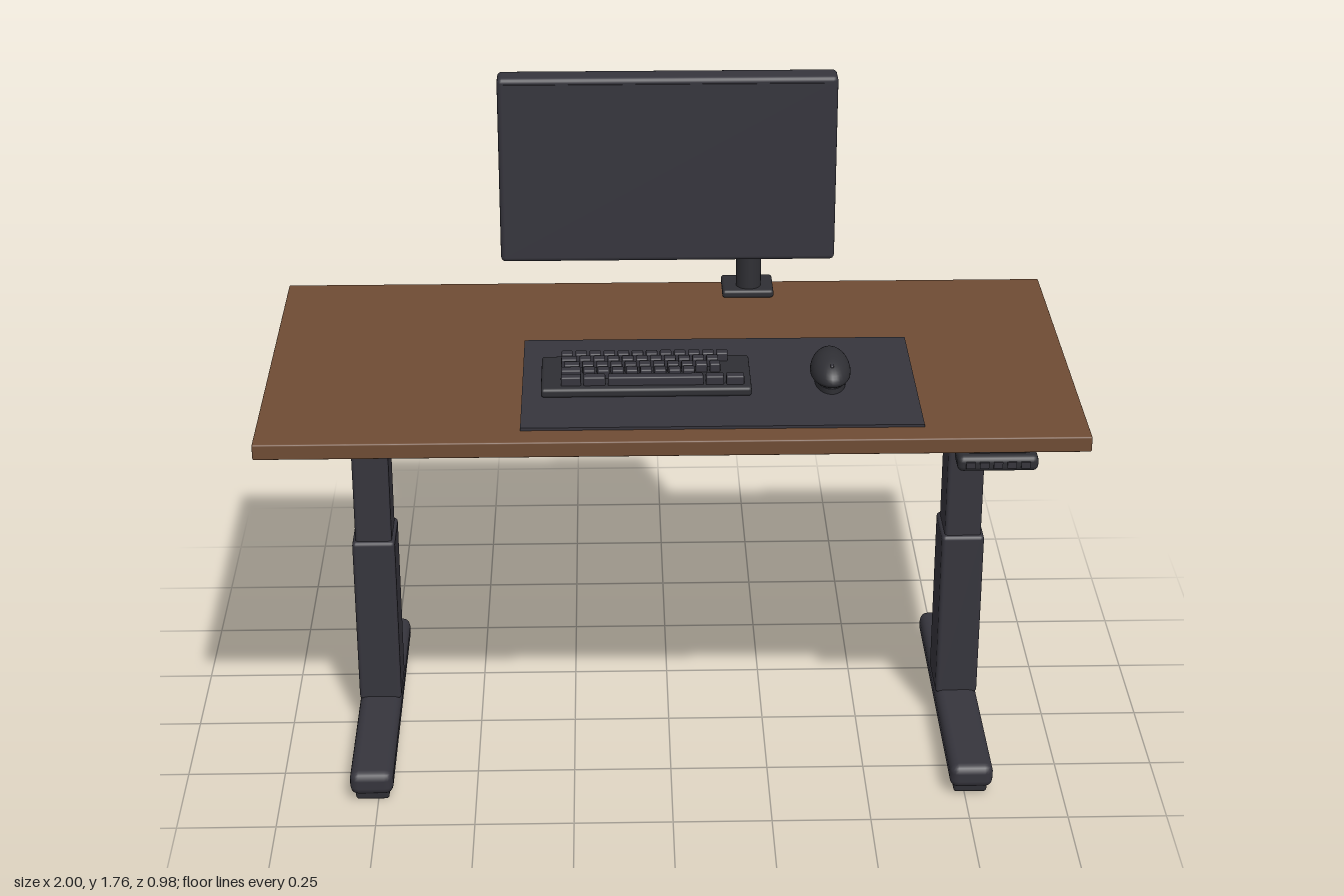
import * as THREE from 'three';
import { RoundedBoxGeometry } from 'three/addons/geometries/RoundedBoxGeometry.js';

const material = (name, color) => {
  const m = new THREE.MeshStandardMaterial({ color });
  m.name = name;
  return m;
};

export function createModel() {
  const wood = material('walnut wood', 0x6f4c34);
  const frame = material('charcoal metal', 0x36353d);
  const dark = material('dark plastic', 0x2f2f34);
  const steel = material('bare steel', 0x9b9ba0);

  const model = new THREE.Group();
  model.name = 'standingDesk';

  const add = (parent, name, geometry, mat) => {
    const mesh = new THREE.Mesh(geometry, mat);
    mesh.name = name;
    parent.add(mesh);
    return mesh;
  };
  // Box given by its extents on each axis, rounded when r > 0
  const box = (parent, name, mat, [x0, x1], [y0, y1], [z0, z1], r = 0) => {
    const size = [x1 - x0, y1 - y0, z1 - z0];
    const geometry = r ? new RoundedBoxGeometry(...size, 2, r) : new THREE.BoxGeometry(...size);
    const mesh = add(parent, name, geometry, mat);
    mesh.position.set((x0 + x1) / 2, (y0 + y1) / 2, (z0 + z1) / 2);
    return mesh;
  };
  // Cylinder between two points
  const rod = (parent, name, mat, a, b, ra, rb = ra) => {
    const from = new THREE.Vector3(...a), to = new THREE.Vector3(...b);
    const dir = to.clone().sub(from);
    const mesh = add(parent, name, new THREE.CylinderGeometry(rb, ra, dir.length(), 24), mat);
    mesh.position.copy(from).add(to).multiplyScalar(0.5);
    mesh.quaternion.setFromUnitVectors(new THREE.Vector3(0, 1, 0), dir.normalize());
    return mesh;
  };
  const cable = (parent, name, points) => {
    const curve = new THREE.CatmullRomCurve3(points.map(p => new THREE.Vector3(...p)));
    add(parent, name, new THREE.TubeGeometry(curve, 32, 0.005, 8), dark);
  };
  const group = name => {
    const g = new THREE.Group();
    g.name = name;
    model.add(g);
    return g;
  };

  // Tabletop
  box(model, 'tabletop', wood, [-1, 1], [1.02, 1.06], [-0.49, 0.48], 0.004);

  // Telescopic legs with feet and mounting brackets
  for (const side of [-1, 1]) {
    const leg = group(side < 0 ? 'rightLeg' : 'leftLeg');
    const cx = side * 0.765;
    const wide = w => [cx - w / 2, cx + w / 2];
    box(leg, 'foot', frame, wide(0.11), [0.025, 0.09], [-0.415, 0.405], 0.022);
    for (const z of [-0.335, 0.325])
      box(leg, 'footPad', dark, wide(0.085), [0, 0.035], [z - 0.055, z + 0.055], 0.008);
    box(leg, 'lowerColumn', frame, wide(0.11), [0.08, 0.55], [-0.13, 0.02], 0.01);
    box(leg, 'middleColumn', frame, wide(0.094), [0.54, 0.815], [-0.12, 0.01], 0.009);
    box(leg, 'upperColumn', frame, wide(0.078), [0.8, 0.97], [-0.11, 0], 0.008);
    box(leg, 'columnBracket', frame, wide(0.23), [0.945, 1.015], [-0.135, 0.07], 0.015);
    box(leg, 'sideRail', frame, wide(0.1), [1.0, 1.02], [-0.26, 0.26]);
    for (const z of [-0.21, 0.205]) {
      box(leg, 'mountingPlate', dark, wide(0.2), [0.997, 1.02], [z - 0.075, z + 0.075], 0.008);
      rod(leg, 'bolt', steel, [cx, 0.993, z], [cx, 1.0, z], 0.008);
    }
  }

  // Underside parts
  box(model, 'crossbeam', frame, [-0.68, 0.68], [0.93, 1.01], [-0.1, 0.01], 0.006);
  box(model, 'controlBox', dark, [-0.41, 0.36], [0.95, 1.02], [-0.41, -0.265], 0.01);
  const keypad = group('heightKeypad');
  box(keypad, 'keypadBody', dark, [0.68, 0.875], [0.97, 1.01], [0.41, 0.483], 0.014);
  box(keypad, 'keypadMount', dark, [0.71, 0.845], [1.0, 1.02], [0.41, 0.46]);
  for (let i = 0; i < 5; i++)
    box(keypad, 'keypadButton', frame, [0.7 + i * 0.033, 0.722 + i * 0.033], [0.982, 0.998], [0.48, 0.487]);

  // Monitor
  const monitor = group('monitor');
  box(monitor, 'monitorBody', frame, [-0.42, 0.42], [1.28, 1.765], [-0.17, -0.103], 0.012);
  box(monitor, 'screen', frame, [-0.403, 0.403], [1.298, 1.75], [-0.105, -0.1]);
  box(monitor, 'rearHousing', dark, [-0.295, 0.295], [1.375, 1.675], [-0.2, -0.16], 0.01);
  for (let i = 0; i < 11; i++) {
    const x = -0.2 + i * 0.04;
    box(monitor, 'vent', frame, [x - 0.012, x + 0.012], [1.615, 1.623], [-0.204, -0.198]);
  }

  // Monitor arm and desk clamp
  const arm = group('monitorArm');
  const px = 0.22, pz = -0.417;
  box(arm, 'clampBase', dark, [0.15, 0.285], [1.06, 1.082], [-0.488, -0.373], 0.008);
  rod(arm, 'pole', dark, [px, 1.08, pz], [px, 1.395, pz], 0.033);
  rod(arm, 'poleCollar', dark, [px, 1.33, pz], [px, 1.4, pz], 0.037);
  rod(arm, 'lowerArm', dark, [px, 1.365, pz], [-0.09, 1.45, -0.32], 0.031, 0.027);
  rod(arm, 'elbow', dark, [-0.09, 1.415, -0.32], [-0.09, 1.49, -0.32], 0.034);
  rod(arm, 'upperArm', dark, [-0.09, 1.455, -0.32], [0, 1.51, -0.222], 0.025);
  rod(arm, 'mountHead', dark, [0, 1.515, -0.23], [0, 1.515, -0.195], 0.026);
  box(arm, 'mountPlate', dark, [-0.05, 0.05], [1.465, 1.565], [-0.208, -0.198]);
  box(arm, 'clampJaw', dark, [0.165, 0.275], [0.953, 0.97], [-0.487, -0.4], 0.005);
  rod(arm, 'clampScrew', steel, [px, 0.9, -0.448], [px, 1.02, -0.448], 0.011);
  cable(arm, 'armCable', [
    [-0.05, 1.43, -0.2], [-0.12, 1.41, -0.27], [-0.11, 1.395, -0.35],
    [0.03, 1.385, -0.4], [0.13, 1.375, -0.41], [0.2, 1.35, -0.42]]);
  cable(arm, 'poleCable', [
    [px, 1.27, -0.44], [0.225, 1.18, -0.455], [0.235, 1.1, -0.46], [0.24, 1.07, -0.445]]);

  // Desk mat
  box(model, 'deskMat', frame, [-0.365, 0.605], [1.06, 1.067], [-0.1, 0.415]);

  // Keyboard: rows as [z, start x, key widths]
  const keyboard = group('keyboard');
  box(keyboard, 'keyboardCase', dark, [-0.318, 0.198], [1.067, 1.091], [0.05, 0.25], 0.008);
  const repeat = (n, w = 0.035) => Array(n).fill(w);
  const rows = [
    [0.078, -0.272, repeat(12)],
    [0.11, -0.272, [0.045, ...repeat(10)]],
    [0.143, -0.265, [0.045, ...repeat(9), 0.032]],
    [0.175, -0.272, [0.055, ...repeat(8)]],
    [0.217, -0.272, [0.055, 0.06, 0.24, 0.05, 0.05]],
  ];
  for (const [z, start, widths] of rows) {
    let x = start;
    for (const w of widths) {
      box(keyboard, 'key', frame, [x + 0.003, x + w - 0.003], [1.088, 1.113], [z - 0.013, z + 0.013], 0.004);
      x += w;
    }
  }

  // Mouse: squashed sphere with a flattened underside and a higher back
  const mouse = group('mouse');
  const shell = new THREE.SphereGeometry(1, 32, 20);
  const p = shell.attributes.position;
  for (let i = 0; i < p.count; i++) {
    const z = p.getZ(i), y = p.getY(i);
    p.setXYZ(i, p.getX(i) * 0.05, y > 0 ? y * 0.05 * (1 - 0.15 * z) : y * 0.025, z * 0.088);
  }
  shell.computeVertexNormals();
  add(mouse, 'mouseShell', shell, dark).position.set(0.395, 1.097, 0.167);
  const sole = add(mouse, 'mouseSole', new THREE.CylinderGeometry(1, 1, 0.014, 32), dark);
  sole.scale.set(0.038, 1, 0.075);
  sole.position.set(0.395, 1.074, 0.167);
  box(mouse, 'scrollWheel', frame, [0.391, 0.399], [1.115, 1.136], [0.205, 0.225], 0.003);

  return model;
}
